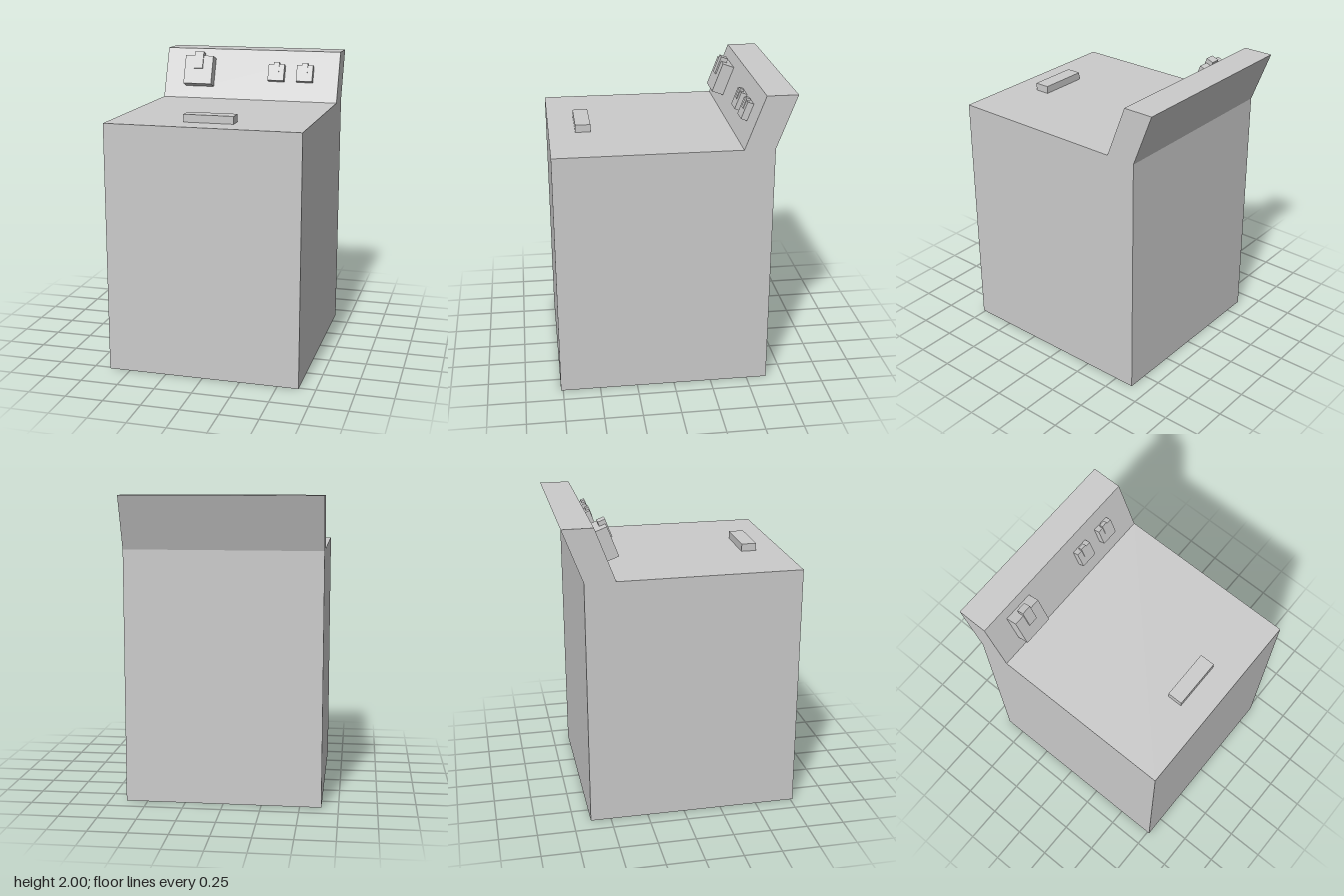
import * as THREE from 'three';

const material = new THREE.MeshStandardMaterial({ color: 0xcccccc, flatShading: true });

function box(name, x0, x1, y0, y1, z0, z1) {
  const mesh = new THREE.Mesh(new THREE.BoxGeometry(x1 - x0, y1 - y0, z1 - z0), material);
  mesh.position.set((x0 + x1) / 2, (y0 + y1) / 2, (z0 + z1) / 2);
  mesh.name = name;
  return mesh;
}

export function createModel() {
  const model = new THREE.Group();
  model.name = 'washingMachine';

  // Cabinet with leaning control panel: side profile (z, y) extruded across the width
  const halfWidth = 0.64;
  const profile = [
    [0.765, 0], [0.765, 1.655], [-0.435, 1.655], [-0.565, 2],
    [-0.765, 2], [-0.635, 1.655], [-0.635, 0],
  ];
  const shape = new THREE.Shape(profile.map(([z, y]) => new THREE.Vector2(-z, y)));
  const geometry = new THREE.ExtrudeGeometry(shape, { depth: halfWidth * 2, bevelEnabled: false });
  geometry.translate(0, 0, -halfWidth);
  geometry.rotateY(Math.PI / 2);
  const cabinet = new THREE.Mesh(geometry, material);
  cabinet.name = 'cabinet';
  model.add(cabinet);

  // Lid handle
  model.add(box('lidHandle', -0.165, 0.165, 1.65, 1.705, 0.49, 0.59));

  // Controls: local y runs up the panel slope, local z points out of it
  const controls = new THREE.Group();
  controls.name = 'controls';
  controls.position.set(0, 1.655, -0.435);
  controls.rotation.x = -Math.atan2(0.13, 0.345);
  model.add(controls);

  // Large dial and its pointer
  controls.add(box('mainDial', -0.477, -0.27, 0.087, 0.294, 0, 0.082));
  controls.add(box('mainDialPointer', -0.406, -0.341, 0.198, 0.323, 0.041, 0.092));

  // Two small dials and their pointers
  for (const x of [0.194, 0.401]) {
    controls.add(box('smallDial', x - 0.058, x + 0.058, 0.139, 0.256, 0, 0.042));
    controls.add(box('smallDialPointer', x - 0.02, x + 0.02, 0.199, 0.272, 0.019, 0.046));
  }
  return model;
}
